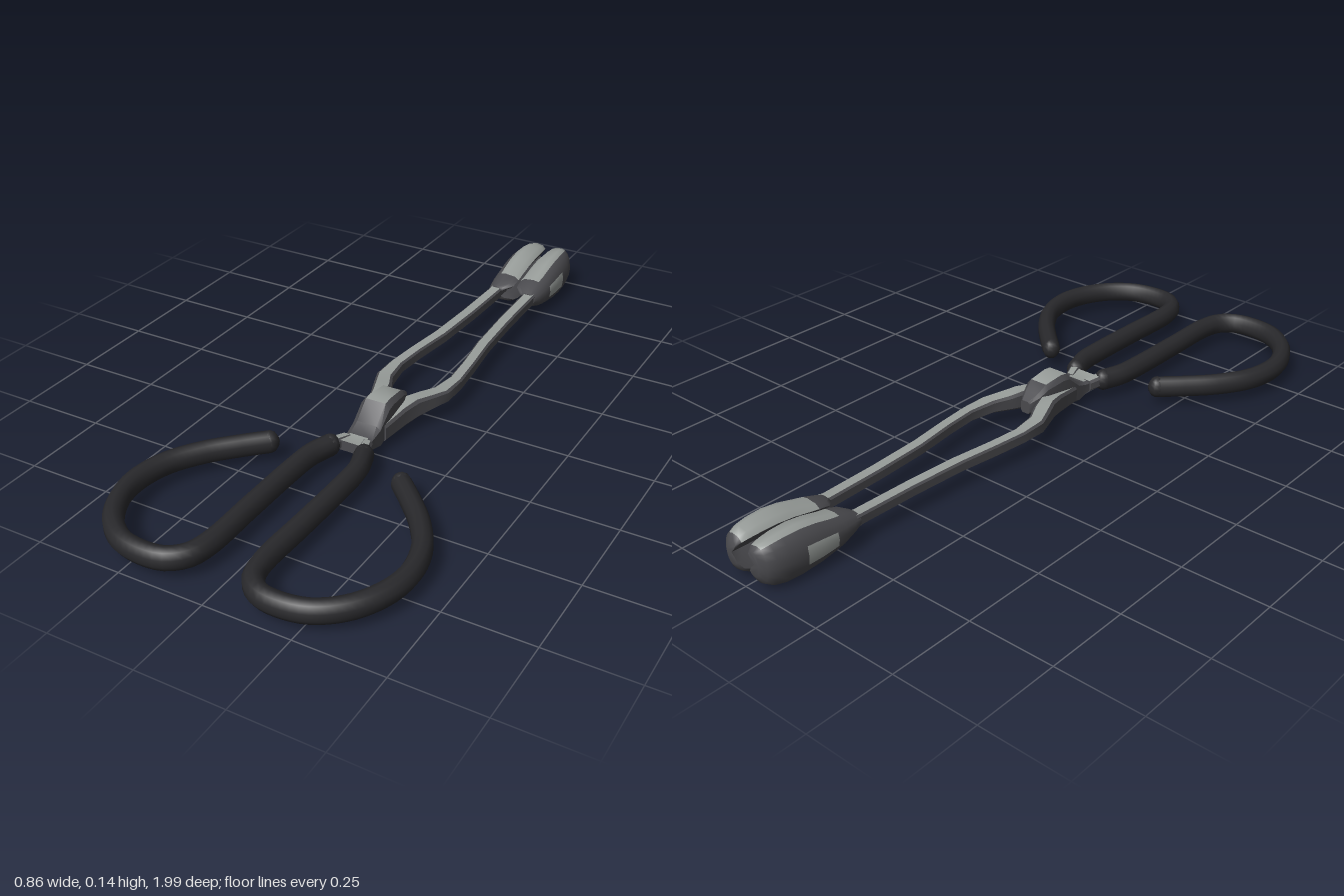
import * as THREE from 'three';
import { toCreasedNormals } from 'three/addons/utils/BufferGeometryUtils.js';

const mat = (name, color) => {
  const m = new THREE.MeshStandardMaterial({ color });
  m.name = name;
  return m;
};

// Cross-section points on a unit outline, counter-clockwise from +x
const boxy = (n, power) => Array.from({ length: n }, (_, j) => {
  const a = (j + 0.5) / n * Math.PI * 2;
  const soft = v => Math.sign(v) * Math.abs(v) ** power;
  return [soft(Math.cos(a)), soft(Math.sin(a))];
});
const spoon = n => Array.from({ length: n }, (_, j) => {
  const a = j / n * Math.PI * 2, c = Math.cos(a);
  return [c < -0.01 ? -Math.abs(Math.sin(2 * a)) : c, Math.sin(a)];
});

// Skin through sections [z, centreX, centreY, halfWidth, halfHeight], front to back.
// isLight(section, side) picks the faces that take the second material.
function loft(outline, sections, side, isLight, crease) {
  const n = outline.length, pos = [], faces = [[], []];
  for (const [z, cx, cy, hx, hy] of sections)
    for (const [u, v] of outline) pos.push(side * (cx + hx * u), cy + hy * v, z);
  const tri = (k, a, b, c) => faces[k].push(...(side > 0 ? [a, b, c] : [a, c, b]));
  const last = (sections.length - 1) * n;
  for (let i = 0; i < sections.length - 1; i++)
    for (let j = 0; j < n; j++) {
      const a = i * n + j, b = i * n + (j + 1) % n, k = isLight(i, j) ? 1 : 0;
      tri(k, a, a + n, b + n);
      tri(k, a, b + n, b);
    }
  for (let j = 1; j < n - 1; j++) {
    tri(0, 0, j, j + 1);
    tri(0, last, last + j + 1, last + j);
  }
  const g = new THREE.BufferGeometry();
  g.setAttribute('position', new THREE.Float32BufferAttribute(pos, 3));
  g.setIndex([...faces[0], ...faces[1]]);
  g.addGroup(0, faces[0].length, 0);
  g.addGroup(faces[0].length, faces[1].length, 1);
  return toCreasedNormals(g, crease);
}

export function createModel() {
  const root = new THREE.Group();
  root.name = 'tongs';
  const black = mat('black grip', 0x29292c);
  const steel = [mat('dark steel', 0x4a4a4e), mat('light steel', 0x989d9a)];
  const add = (name, geometry, material) => {
    const m = new THREE.Mesh(geometry, material);
    m.name = name;
    root.add(m);
    return m;
  };

  // Pivot: low plate, steep step and raised cap
  add('pivot', loft(boxy(8, 0.4), [
    [0.33, 0, 0.063, 0.052, 0.016],
    [0.28, 0, 0.054, 0.042, 0.02],
    [0.24, 0, 0.056, 0.045, 0.035],
    [0.19, 0, 0.085, 0.046, 0.053],
    [0.165, 0, 0.091, 0.045, 0.05],
    [0.10, 0, 0.089, 0.041, 0.045],
    [0.07, 0, 0.08, 0.032, 0.032],
    [0.04, 0, 0.074, 0.016, 0.02],
  ], 1, (i, j) => j === 1 && (i === 0 || i === 3 || i === 4), 0.6), steel);

  for (const s of [1, -1]) {
    const label = s > 0 ? 'left' : 'right';

    // Arm: bowed bar with a bright upper face
    add(label + 'Arm', loft(boxy(8, 0.4), [
      [0.22, 0.028, 0.06, 0.022, 0.026],
      [0.13, 0.04, 0.068, 0.024, 0.03],
      [0.08, 0.051, 0.074, 0.028, 0.03],
      [0.03, 0.070, 0.074, 0.03, 0.024],
      [-0.02, 0.092, 0.073, 0.027, 0.02],
      [-0.1, 0.099, 0.073, 0.021, 0.018],
      [-0.2, 0.09, 0.073, 0.02, 0.018],
      [-0.33, 0.073, 0.073, 0.021, 0.017],
      [-0.5, 0.063, 0.073, 0.021, 0.017],
      [-0.68, 0.058, 0.073, 0.021, 0.017],
      [-0.73, 0.06, 0.075, 0.024, 0.022],
    ], s, (i, j) => j === 1, 0.6), steel);

    // Spoon-shaped jaw, hollow on the inner face
    add(label + 'Jaw', loft(spoon(16), [
      [-0.69, 0.056, 0.074, 0.026, 0.02],
      [-0.715, 0.048, 0.072, 0.042, 0.034],
      [-0.75, 0.05, 0.071, 0.046, 0.046],
      [-0.78, 0.052, 0.072, 0.047, 0.052],
      [-0.83, 0.053, 0.074, 0.048, 0.064],
      [-0.88, 0.053, 0.076, 0.048, 0.07],
      [-0.93, 0.052, 0.077, 0.045, 0.069],
      [-0.965, 0.05, 0.079, 0.04, 0.063],
      [-0.988, 0.046, 0.083, 0.032, 0.052],
      [-1.0, 0.042, 0.088, 0.018, 0.034],
    ], s, (i, j) => (i >= 2 && i <= 7 && j >= 3 && j <= 5) ||
      (i >= 3 && i <= 4 && (j === 0 || j === 15)), 1.0), steel);

    // Steel neck running into the grip
    add(label + 'Neck', loft(boxy(8, 0.6), [
      [0.42, 0.07, 0.065, 0.02, 0.02],
      [0.35, 0.052, 0.068, 0.02, 0.019],
      [0.29, 0.032, 0.059, 0.017, 0.018],
    ], s, (i, j) => i === 1 && j === 1, 0.6), steel);

    // Open looped grip
    const path = new THREE.CatmullRomCurve3([
      [0.053, 0.345], [0.073, 0.41], [0.078, 0.5], [0.078, 0.68], [0.078, 0.86],
      [0.094, 0.92], [0.135, 0.957], [0.2, 0.966], [0.275, 0.95], [0.345, 0.895],
      [0.392, 0.81], [0.405, 0.725], [0.385, 0.63], [0.33, 0.54], [0.265, 0.469], [0.206, 0.412],
    ].map(([x, z]) => new THREE.Vector3(s * x, 0, z)), false, 'centripetal');
    const grip = add(label + 'Grip', new THREE.TubeGeometry(path, 72, 0.028, 10), black);
    grip.scale.y = 1.17;
    grip.position.y = 0.064;

    // Rounded grip ends
    for (const t of [0, 1]) {
      const end = add(label + 'GripEnd', new THREE.SphereGeometry(0.028, 10, 8), black);
      end.position.copy(path.getPoint(t)).setY(0.064);
      end.scale.y = 1.17;
    }
  }
  return root;
}
